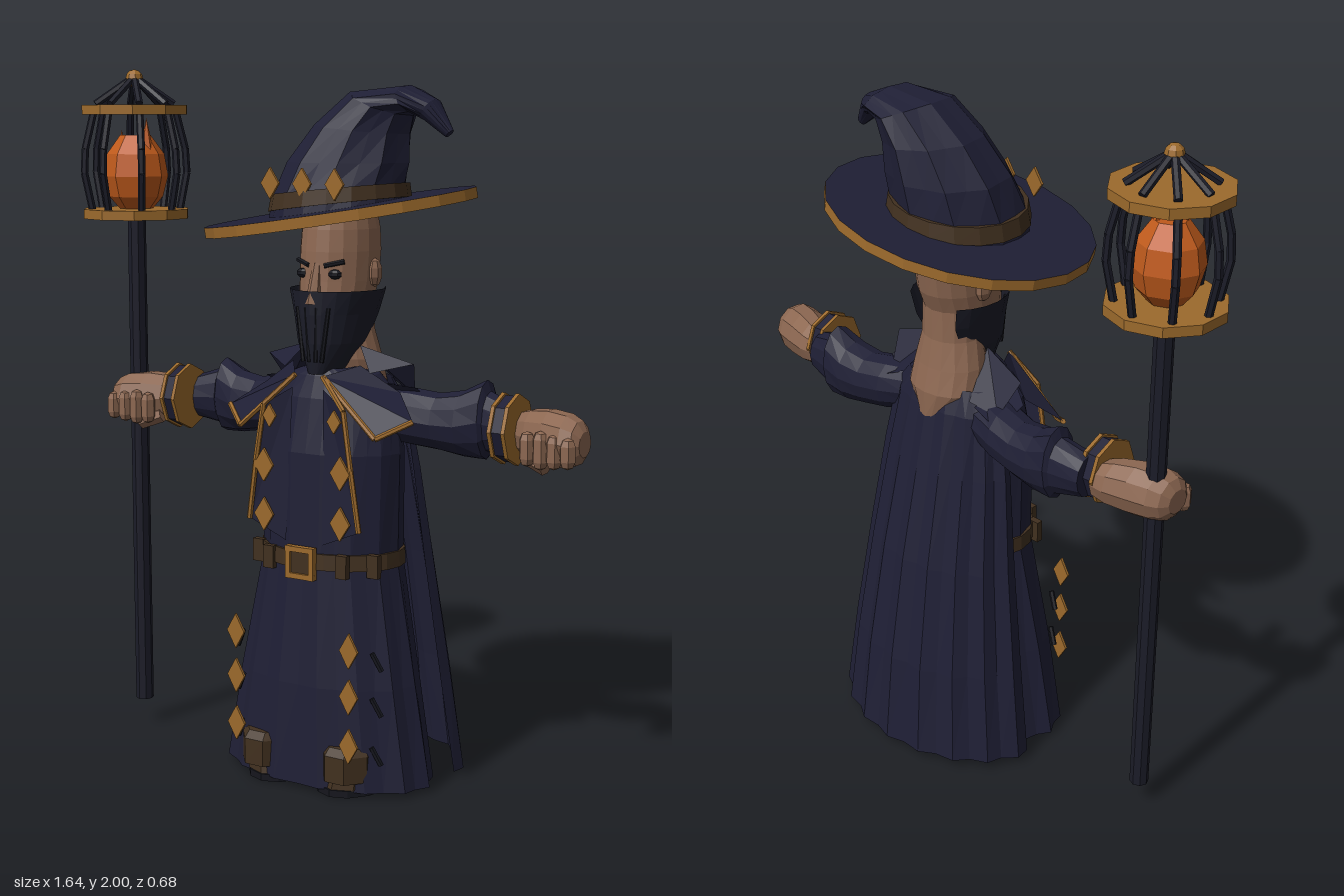
import * as THREE from 'three';

const material = (name, color, side = THREE.FrontSide) => {
  const m = new THREE.MeshStandardMaterial({ color, side });
  m.name = name;
  return m;
};
const CX = 0.05; // body centre line
const STAFF_X = -0.66;
const V = (x, y, z) => new THREE.Vector3(x, y, z);

export function createModel() {
  const model = new THREE.Group();
  model.name = 'wizard';
  const navy = material('navy cloth', 0x1f1f35, THREE.DoubleSide);
  const darkCloth = material('dark cloth', 0x1b1c28, THREE.DoubleSide);
  const black = material('black', 0x15161d);
  const gold = material('gold', 0x9c6a2c);
  const skin = material('skin', 0x8c6751);
  const brown = material('brown leather', 0x41301f);
  const orange = material('orange flame', 0xbf5a1c);

  // Faceted mesh from any geometry
  function add(name, geo, mat, parent = model) {
    const g = geo.index ? geo.toNonIndexed() : geo;
    g.computeVertexNormals();
    const mesh = new THREE.Mesh(g, mat);
    mesh.name = name;
    parent.add(mesh);
    return mesh;
  }

  // Loft through elliptical sections [x, y, z, rx, rz, tilt, pleat]
  function loft(sections, n = 12, { from = 0, to = Math.PI * 2, caps = true } = {}) {
    const pos = [], idx = [];
    for (const [x, y, z, rx, rz, t = 0, p = 0] of sections) {
      for (let j = 0; j <= n; j++) {
        const a = from + (to - from) * j / n, f = 1 + (j % 2 ? p : -p);
        const u = Math.sin(a) * rx * f;
        pos.push(x + u * Math.cos(t), y + u * Math.sin(t), z + Math.cos(a) * rz * f);
      }
    }
    const w = n + 1, last = sections.length - 1;
    for (let i = 0; i < last; i++) for (let j = 0; j < n; j++) {
      const a = i * w + j, b = a + 1, c = b + w, d = a + w;
      idx.push(a, b, c, a, c, d);
    }
    if (caps) {
      const base = pos.length / 3;
      for (const s of [sections[0], sections[last]]) pos.push(s[0], s[1], s[2]);
      for (let j = 0; j < n; j++) idx.push(base, j + 1, j, base + 1, last * w + j, last * w + j + 1);
    }
    const g = new THREE.BufferGeometry();
    g.setAttribute('position', new THREE.Float32BufferAttribute(pos, 3));
    g.setIndex(idx);
    return g;
  }

  // Round bar between two points
  function bar(name, a, b, r, mat, parent, sides = 6) {
    const d = b.clone().sub(a);
    const m = add(name, new THREE.CylinderGeometry(r, r, d.length(), sides), mat, parent);
    m.position.copy(a).addScaledVector(d, 0.5);
    m.quaternion.setFromUnitVectors(V(0, 1, 0), d.normalize());
    return m;
  }
  function diamond(name, x, y, z, w, h) {
    const g = new THREE.CylinderGeometry(1, 1, 0.008, 4).rotateX(Math.PI / 2).scale(w / 2, h / 2, 1);
    return add(name, g.translate(x, y, z), gold);
  }
  function polygon(points) {
    const idx = [];
    for (let i = 1; i < points.length - 1; i++) idx.push(0, i, i + 1);
    const g = new THREE.BufferGeometry().setFromPoints(points);
    g.setIndex(idx);
    return g;
  }

  // Pleated robe, open at the hem, and cape
  add('robe', loft([
    [CX, 0.015, 0.045, 0.325, 0.178, 0, 0.025], [CX, 0.3, 0.04, 0.275, 0.17, 0, 0.022],
    [CX, 0.64, 0.025, 0.21, 0.155, 0, 0.015], [CX, 0.95, 0.025, 0.215, 0.145, 0, 0.01],
    [CX, 1.1, 0.015, 0.195, 0.125], [CX, 1.16, 0.01, 0.13, 0.11], [CX, 1.18, 0.03, 0.07, 0.08],
  ], 28, { caps: false }), navy);
  add('cape', loft([
    [CX, 0.025, -0.05, 0.355, 0.265, 0, 0.025], [CX, 0.3, -0.04, 0.315, 0.247, 0, 0.03],
    [CX, 0.62, -0.03, 0.27, 0.205, 0, 0.03], [CX, 0.9, -0.02, 0.235, 0.155, 0, 0.03],
    [CX, 1.08, -0.015, 0.205, 0.122, 0, 0.02], [CX, 1.15, -0.015, 0.16, 0.1],
  ], 18, { from: Math.PI * 0.53, to: Math.PI * 1.47, caps: false }), navy);
  add('belt', loft([[CX, 0.63, 0.025, 0.22, 0.165], [CX, 0.675, 0.025, 0.218, 0.162]], 20), brown);
  for (const d of [-0.19, -0.12, 0.12, 0.19]) {
    const z = 0.025 + 0.168 * Math.sqrt(1 - (d / 0.225) ** 2);
    add('beltTab', new THREE.BoxGeometry(0.035, 0.065, 0.02).translate(CX + d, 0.645, z), brown);
  }
  for (const k of [-1, 1]) {
    add('buckleSide', new THREE.BoxGeometry(0.015, 0.092, 0.02).translate(CX + k * 0.038, 0.647, 0.193), gold);
    add('buckleBar', new THREE.BoxGeometry(0.092, 0.015, 0.02).translate(CX, 0.647 + k * 0.038, 0.193), gold);
  }
  add('bucklePlate', new THREE.BoxGeometry(0.07, 0.07, 0.01).translate(CX, 0.647, 0.19), brown);

  // Neck, head and face
  add('neck', loft([
    [CX, 1.05, -0.08, 0.05, 0.065], [CX, 1.13, -0.06, 0.115, 0.085], [CX, 1.2, -0.04, 0.11, 0.088],
    [CX, 1.28, -0.03, 0.09, 0.082], [CX, 1.38, -0.03, 0.085, 0.08],
  ], 16), skin);
  add('head', loft([
    [CX, 1.19, 0.06, 0.04, 0.05], [CX, 1.28, 0.035, 0.085, 0.095], [CX, 1.36, 0.008, 0.1, 0.115],
    [CX, 1.42, -0.006, 0.105, 0.124], [CX, 1.5, -0.014, 0.107, 0.128], [CX, 1.56, -0.016, 0.104, 0.123],
    [CX, 1.61, -0.016, 0.095, 0.112], [CX, 1.67, -0.01, 0.06, 0.07],
  ], 18), skin);
  add('nose', loft([[CX, 1.36, 0.125, 0.022, 0.03], [CX, 1.47, 0.105, 0.012, 0.015]], 6), skin);
  add('mask', loft([
    [CX, 1.165, 0.06, 0.04, 0.07], [CX, 1.25, 0.025, 0.09, 0.115],
    [CX, 1.33, 0.005, 0.11, 0.14], [CX, 1.395, 0, 0.13, 0.145],
  ], 16, { from: -Math.PI * 0.76, to: Math.PI * 0.76, caps: false }), darkCloth);
  for (const k of [-0.05, -0.018, 0.018, 0.05]) {
    bar('maskFold', V(CX + k * 0.6, 1.2, 0.132), V(CX + k, 1.35, 0.143 - Math.abs(k) * 0.3), 0.006, black);
  }

  // Arm sections are given as [distance from centre line, y, z, ry, rz]
  const along = (s, list) => list.map(([d, y, z, ry, rz]) => [CX + s * d, y, z, ry, rz, -s * Math.PI / 2]);

  for (const s of [-1, 1]) {
    const side = s > 0 ? 'left' : 'right';
    const P = (d, y, z) => V(CX + s * d, y, z);
    add(side + 'Ear', new THREE.SphereGeometry(1, 7, 5).scale(0.018, 0.04, 0.028)
      .translate(CX + s * 0.108, 1.44, -0.02), skin);
    add(side + 'Eye', new THREE.SphereGeometry(1, 8, 5).scale(0.024, 0.014, 0.014)
      .translate(CX + s * 0.05, 1.44, 0.098), black);
    bar(side + 'Brow', P(0.025, 1.463, 0.112), P(0.075, 1.475, 0.088), 0.007, black);

    // Sleeve, cuff and fist
    add(side + 'Sleeve', loft(along(s, [
      [0.12, 1.06, -0.015, 0.07, 0.085], [0.22, 1.045, -0.045, 0.08, 0.08], [0.3, 1.035, -0.06, 0.08, 0.075],
      [0.37, 1.035, -0.065, 0.092, 0.075], [0.435, 1.05, -0.072, 0.11, 0.065], [0.445, 1.045, -0.072, 0.085, 0.055],
      [0.53, 1.04, -0.055, 0.062, 0.05],
    ]), 12), navy);
    for (const [name, a, b, r, mat] of [['Cuff', 0.525, 0.56, 0.09, navy],
      ['CuffInnerTrim', 0.515, 0.526, 0.097, gold], ['CuffOuterTrim', 0.556, 0.567, 0.097, gold]]) {
      add(side + name, loft(along(s, [[a, 1.045, 0, r, r * 0.9], [b, 1.045, 0, r, r * 0.9]]), 8), mat);
    }
    add(side + 'Hand', loft(along(s, [
      [0.555, 1.035, -0.035, 0.055, 0.05], [0.6, 1.035, -0.02, 0.068, 0.068], [0.66, 1.035, -0.002, 0.075, 0.075],
      [0.72, 1.032, 0.015, 0.073, 0.075], [0.752, 1.03, 0.02, 0.06, 0.062], [0.768, 1.028, 0.022, 0.035, 0.038],
    ]), 10), skin);
    for (let i = 0; i < 4; i++) {
      const finger = new THREE.CapsuleGeometry(0.022, 0.06 - Math.abs(i - 1) * 0.01, 2, 6);
      add(side + 'Finger', finger.translate(CX + s * (0.625 + i * 0.04), 1.01, 0.068 + i * 0.003), skin);
    }
    bar(side + 'Thumb', P(0.6, 0.985, 0.03), P(0.67, 0.96, 0.045), 0.022, skin);

    // Pointed collar with gold hems
    const hem = [P(0.045, 1.165, 0.15), P(0.22, 1.01, 0.165), P(0.3, 1.055, 0.1)];
    add(side + 'Lapel', polygon([...hem, P(0.22, 1.12, 0.03), P(0.11, 1.19, 0.06)]), navy);
    add(side + 'CollarPoint', polygon([P(0.085, 1.24, 0.02), P(0.14, 1.17, 0.06), P(0.24, 1.195, -0.01),
      P(0.21, 1.1, -0.07), P(0.13, 1.13, -0.1)]), navy);
    add(side + 'ShoulderPoint', polygon([P(0.15, 1.15, 0.06), P(0.25, 1.13, -0.01), P(0.24, 1.08, -0.1),
      P(0.15, 1.12, -0.1)]), navy);
    for (let i = 0; i < 2; i++) bar(side + 'LapelTrim', hem[i], hem[i + 1], 0.008, gold);
    const front = [hem[0], P(0.13, 1.08, 0.18), P(0.155, 0.92, 0.183), P(0.18, 0.75, 0.18)];
    for (let i = 0; i < 3; i++) bar(side + 'FrontTrim', front[i], front[i + 1], 0.008, gold);
    add(side + 'FrontPanel', polygon([P(0.05, 1.13, 0.155), P(0.13, 1.08, 0.176), P(0.18, 0.75, 0.176),
      P(0.06, 0.7, 0.176)]), navy);

    // Ornaments and stitching
    for (const [d, y, h] of [[0.105, 1.05, 0.065], [0.125, 0.91, 0.095], [0.125, 0.77, 0.095]]) {
      diamond(side + 'ChestDiamond', CX + s * d, y, 0.187, h * 0.66, h);
    }
    for (const y of [0.435, 0.305, 0.165]) {
      diamond(side + 'SkirtDiamond', CX + s * 0.187, y, 0.24, 0.058, 0.1);
      bar(side + 'Stitch', P(0.215, y - 0.02, 0.165), P(0.24, y - 0.07, 0.155), 0.008, black);
    }

    // Boots
    add(side + 'Sole', loft([[CX + s * 0.115, 0, 0.05, 0.112, 0.175], [CX + s * 0.115, 0.02, 0.05, 0.112, 0.175]], 14), black);
    add(side + 'Boot', loft([
      [CX + s * 0.118, 0.02, 0.05, 0.115, 0.17], [CX + s * 0.13, 0.09, 0.045, 0.105, 0.165],
      [CX + s * 0.135, 0.145, 0.04, 0.08, 0.13],
    ], 12), brown);
    add(side + 'ToeCap', loft([
      [CX + s * 0.135, 0.045, 0.14, 0.08, 0.1], [CX + s * 0.135, 0.12, 0.14, 0.08, 0.1],
      [CX + s * 0.135, 0.14, 0.135, 0.07, 0.085],
    ], 8, { from: -Math.PI * 0.625, to: Math.PI * 1.375 }), brown);
  }

  // Hat: tilted brim with gold rim, bent crown, band
  const brim = new THREE.Group();
  brim.name = 'hatBrim';
  brim.position.set(0.055, 1.603, 0);
  brim.rotation.set(0.07, 0, 0.139);
  model.add(brim);
  add('brimCloth', new THREE.CylinderGeometry(1, 1, 0.03, 20).scale(0.397, 1, 0.341), [gold, navy, black], brim);
  add('brimRim', new THREE.RingGeometry(0.95, 1, 20).rotateX(Math.PI / 2).rotateY(Math.PI / 2)
    .scale(0.397, 1, 0.341).translate(0, -0.017, 0), gold, brim);
  add('hatCrown', loft([
    [0.055, 1.6, 0, 0.2, 0.19, 0.13, 0.01], [0.055, 1.66, 0, 0.187, 0.178, 0.1, 0.02],
    [0.075, 1.74, -0.018, 0.17, 0.16, 0, 0.035], [0.11, 1.83, -0.035, 0.13, 0.138, -0.1, 0.035],
    [0.165, 1.9, -0.05, 0.085, 0.12, -0.4, 0.04], [0.25, 1.91, -0.06, 0.04, 0.092, -1.2, 0.04],
    [0.31, 1.88, -0.06, 0.032, 0.05, -2], [0.365, 1.818, -0.06, 0.014, 0.012, -2.4],
  ], 18), navy);
  add('hatBand', loft([[0.055, 1.625, 0, 0.203, 0.193, 0.12], [0.057, 1.668, 0, 0.195, 0.186, 0.1]], 18), brown);
  for (const k of [-1, 0, 1]) diamond('hatDiamond', CX + k * 0.103, 1.686, 0.182, 0.058, 0.085);

  // Staff and caged lantern
  const staff = new THREE.Group();
  staff.name = 'staff';
  staff.position.x = STAFF_X;
  model.add(staff);
  bar('pole', V(0, 0.08, 0), V(0, 1.57, 0), 0.027, darkCloth, staff, 8);
  for (const y of [1.58, 1.883]) {
    add('lanternPlate', new THREE.CylinderGeometry(0.16, 0.16, 0.028, 10).translate(0, y, 0), gold, staff);
  }
  for (let i = 0; i < 8; i++) {
    const a = i * Math.PI / 4;
    const Q = (r, y) => V(Math.sin(a) * r, y, Math.cos(a) * r);
    const cage = [Q(0.13, 1.59), Q(0.152, 1.7), Q(0.148, 1.77), Q(0.122, 1.875)];
    for (let j = 0; j < 3; j++) bar('cageBar', cage[j], cage[j + 1], 0.011, darkCloth, staff);
    bar('roofBar', Q(0.115, 1.9), Q(0.01, 1.972), 0.011, darkCloth, staff);
  }
  add('finial', new THREE.SphereGeometry(0.026, 8, 6).translate(0, 1.974, 0), gold, staff);
  add('flame', loft([
    [0, 1.595, 0, 0.05, 0.05], [0, 1.63, 0, 0.08, 0.08], [0, 1.69, 0, 0.096, 0.096],
    [0, 1.755, 0, 0.085, 0.085], [0, 1.81, 0, 0.045, 0.045],
  ], 8), orange, staff);
  for (const [x, y, z] of [[0.05, 1.86, 0.01], [0.02, 1.85, -0.03], [-0.035, 1.825, 0.02]]) {
    add('flameTip', new THREE.ConeGeometry(0.026, 0.12, 5).translate(x, y - 0.06, z), orange, staff);
  }

  return model;
}
